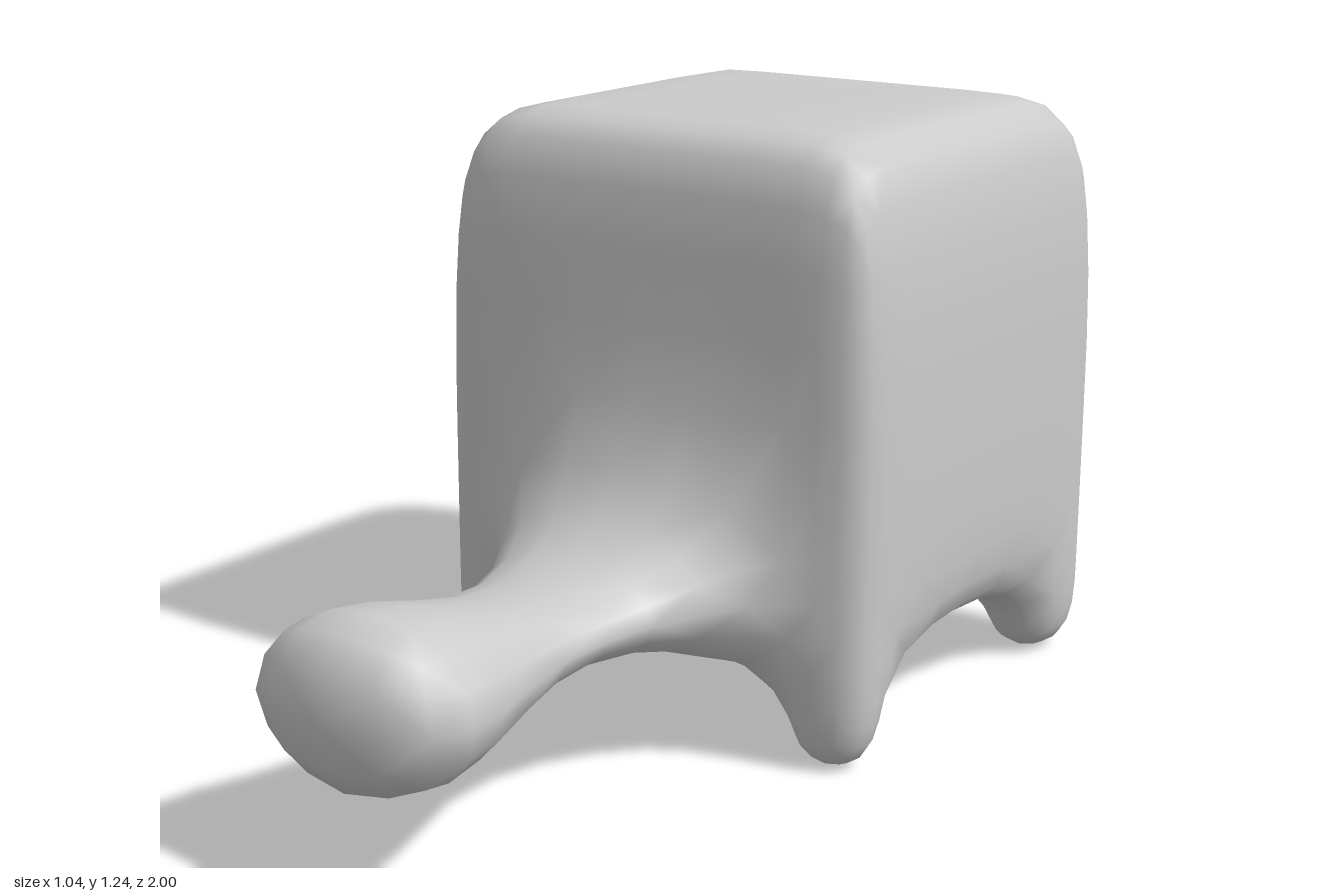
import * as THREE from 'three';

// Cage grid lines along each axis
const X = [-0.52, -0.33, 0.33, 0.52];
const Y = [-0.017, 0.2, 0.48, 1.24];
const Z = [-1.0, -0.76, -0.12, 0.04, 0.5, 1.043];

// Which grid cells are solid: block body, four corner legs, front snout of two cells
function solid([i, j, k]) {
  if (i < 0 || i > 2 || j < 0 || j > 2 || k < 0 || k > 4) return false;
  if (k > 2) return i === 1 && j === 1;
  return j > 0 || (i !== 1 && k !== 1);
}

// Cage corner position, with the snout neck pinched and its tip widened
function corner([i, j, k]) {
  const p = new THREE.Vector3(X[i], Y[j], Z[k]);
  if (k > 3) {
    const [hx, hy] = k === 4 ? [0.085, 0.024] : [0.43, 0.325];
    p.x = 0.015 + (i === 1 ? -hx : hx);
    p.y = 0.33 + (j === 1 ? -hy : hy);
  } else if (j === 0 && (i === 1 || i === 2)) {
    p.x *= 0.94; // leg tips lean slightly inward
  }
  return p;
}

// Outer faces of the solid cells, as quads
function buildCage() {
  const pts = [], quads = [], ids = new Map();
  const id = (g) => {
    const key = g.join();
    if (!ids.has(key)) { ids.set(key, pts.length); pts.push(corner(g)); }
    return ids.get(key);
  };
  for (let i = 0; i < 3; i++) for (let j = 0; j < 3; j++) for (let k = 0; k < 5; k++) {
    const cell = [i, j, k];
    if (!solid(cell)) continue;
    for (let d = 0; d < 3; d++) for (const s of [0, 1]) {
      const next = [...cell];
      next[d] += s ? 1 : -1;
      if (solid(next)) continue;
      const quad = [[0, 0], [1, 0], [1, 1], [0, 1]].map(([u, v]) => {
        const g = [...cell];
        g[d] += s;
        g[(d + 1) % 3] += u;
        g[(d + 2) % 3] += v;
        return id(g);
      });
      quads.push(s ? quad : quad.reverse());
    }
  }
  return { pts, quads };
}

const zeros = (n) => Array.from({ length: n }, () => new THREE.Vector3());

// Unique edges with the faces on both sides
function findEdges(quads) {
  const edges = new Map();
  quads.forEach((q, f) => q.forEach((a, n) => {
    const b = q[(n + 1) % 4], key = edgeKey(a, b);
    if (!edges.has(key)) edges.set(key, { a, b, faces: [] });
    edges.get(key).faces.push(f);
  }));
  return edges;
}
const edgeKey = (a, b) => Math.min(a, b) + '_' + Math.max(a, b);

// One round of smooth quad subdivision
function subdivide({ pts, quads }) {
  const edges = findEdges(quads), count = pts.length;
  const faceSum = zeros(count), midSum = zeros(count), valence = new Array(count).fill(0);
  const centres = quads.map((q) => {
    const c = new THREE.Vector3();
    q.forEach((v) => c.addScaledVector(pts[v], 0.25));
    q.forEach((v) => faceSum[v].add(c));
    return c;
  });
  const edgePts = [];
  for (const e of edges.values()) {
    const mid = pts[e.a].clone().add(pts[e.b]).multiplyScalar(0.5);
    for (const v of [e.a, e.b]) { midSum[v].add(mid); valence[v]++; }
    e.id = count + quads.length + edgePts.length;
    edgePts.push(mid.multiplyScalar(0.5)
      .addScaledVector(centres[e.faces[0]], 0.25).addScaledVector(centres[e.faces[1]], 0.25));
  }
  const moved = pts.map((p, v) => {
    const n = valence[v];
    return p.clone().multiplyScalar((n - 3) / n)
      .addScaledVector(faceSum[v], 1 / (n * n)).addScaledVector(midSum[v], 2 / (n * n));
  });
  const out = [];
  quads.forEach((q, f) => q.forEach((v, n) => out.push([
    v, edges.get(edgeKey(v, q[(n + 1) % 4])).id, count + f, edges.get(edgeKey(q[(n + 3) % 4], v)).id,
  ])));
  return { pts: [...moved, ...centres, ...edgePts], quads: out };
}

// Push every vertex onto the final smooth surface
function toLimit({ pts, quads }) {
  const near = zeros(pts.length), diagonal = zeros(pts.length), valence = new Array(pts.length).fill(0);
  for (const { a, b } of findEdges(quads).values()) {
    near[a].add(pts[b]);
    near[b].add(pts[a]);
  }
  quads.forEach((q) => q.forEach((v, n) => {
    diagonal[v].add(pts[q[(n + 2) % 4]]);
    valence[v]++;
  }));
  const limit = pts.map((p, v) => {
    const n = valence[v];
    return p.clone().multiplyScalar(n * n).addScaledVector(near[v], 4).add(diagonal[v])
      .divideScalar(n * (n + 5));
  });
  return { pts: limit, quads };
}

export function createModel() {
  const group = new THREE.Group();
  group.name = 'blockCreature';

  // Single smooth skin: body, legs and snout
  let surface = buildCage();
  for (let n = 0; n < 2; n++) surface = subdivide(surface);
  surface = toLimit(surface);

  const geometry = new THREE.BufferGeometry().setFromPoints(surface.pts);
  geometry.setIndex(surface.quads.flatMap(([a, b, c, d]) => [a, b, c, a, c, d]));
  geometry.computeVertexNormals();

  const skin = new THREE.Mesh(geometry, new THREE.MeshStandardMaterial({ color: 0xcccccc }));
  skin.name = 'bodyWithLegsAndSnout';
  group.add(skin);
  return group;
}
